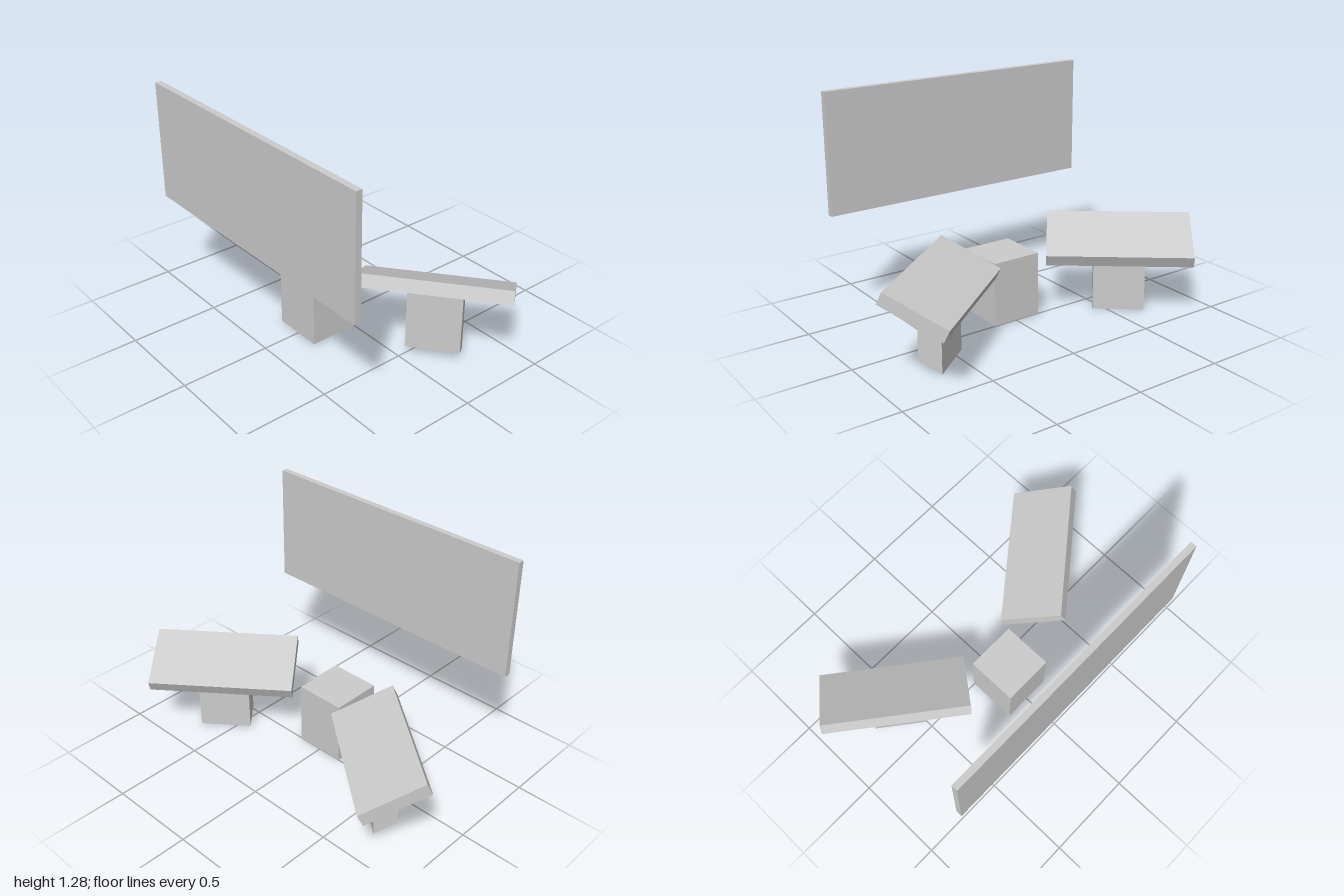
import * as THREE from 'three';

const material = new THREE.MeshStandardMaterial({ color: 0xcccccc, flatShading: true });

function box(name, w, h, d, x, y, z) {
  const mesh = new THREE.Mesh(new THREE.BoxGeometry(w, h, d), material);
  mesh.name = name;
  mesh.position.set(x, y, z);
  return mesh;
}

// Sloping desk on a pedestal whose ends are cut parallel to the desk; side is +1 or -1 along z.
function desk(name, side) {
  const yaw = THREE.MathUtils.degToRad(51.8);
  const tilt = THREE.MathUtils.degToRad(25);
  const group = new THREE.Group();
  group.name = name;

  const top = box('deskTop', 0.80, 0.071, 0.361, 0, 0.41, 0);
  top.rotation.x = -side * tilt;

  const leg = box('pedestal', 0.287, 0.35, 0.124, 0.005, 0.206, side * 0.019);
  const pos = leg.geometry.attributes.position;
  for (let i = 0; i < pos.count; i++) {
    pos.setY(i, pos.getY(i) + side * pos.getZ(i) * Math.tan(tilt));
  }
  leg.geometry.computeVertexNormals();

  group.add(top, leg);
  group.position.set(0.179, 0, side * 0.574);
  group.rotation.y = -side * yaw;
  return group;
}

export function createModel() {
  const model = new THREE.Group();
  model.name = 'deskSetWithScreen';
  // Upright wall panel and central block
  model.add(box('screen', 0.035, 0.666, 1.62, -0.553, 0.947, 0));
  model.add(box('centralBlock', 0.287, 0.36, 0.287, -0.138, 0.186, -0.002));
  // Mirrored pair of desks
  model.add(desk('frontDesk', 1), desk('backDesk', -1));
  return model;
}
